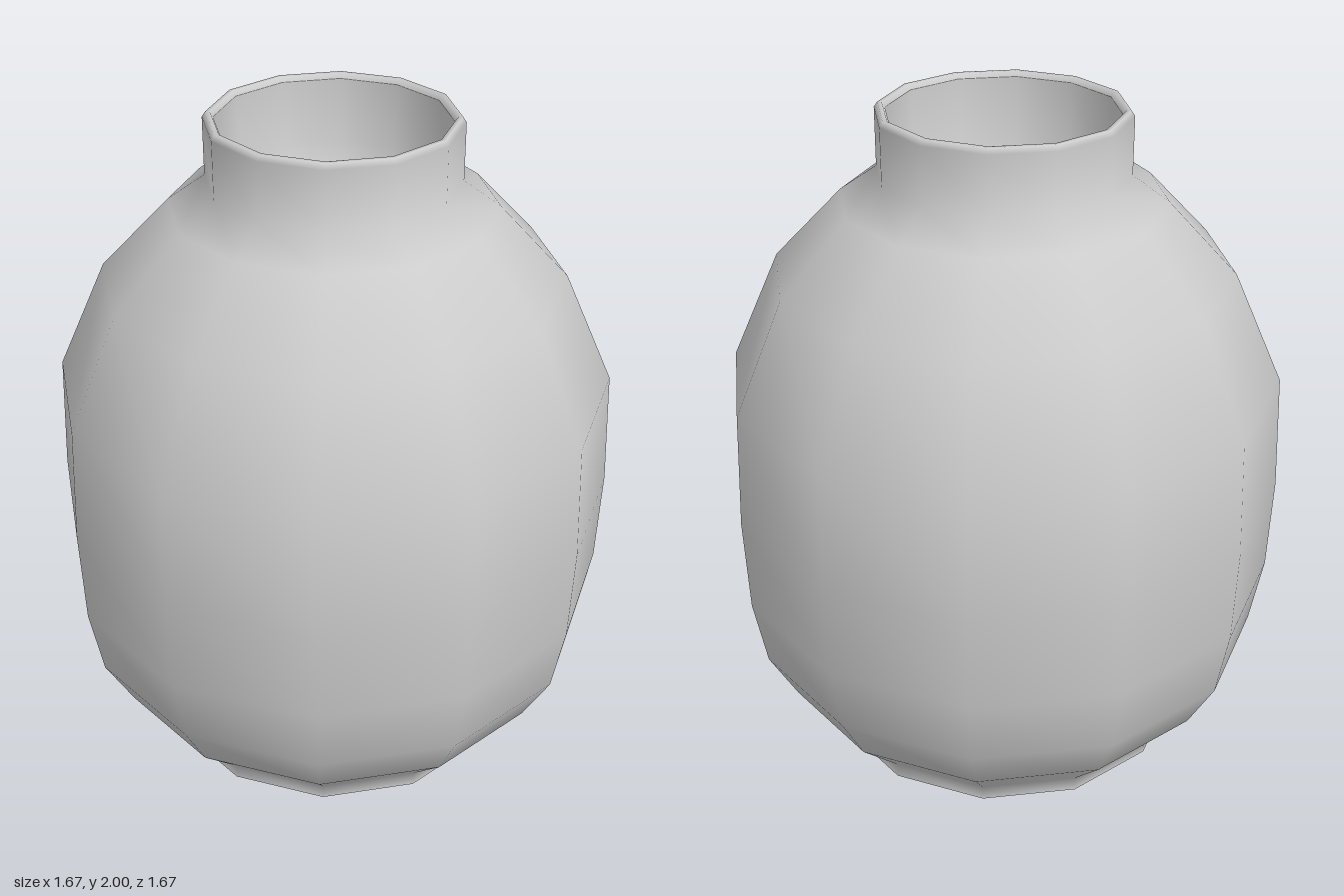
import * as THREE from 'three';

const SIDES = 12;

function lathe(name, points, material) {
  const profile = points.map(([r, y]) => new THREE.Vector2(r, y));
  const mesh = new THREE.Mesh(new THREE.LatheGeometry(profile, SIDES), material);
  mesh.name = name;
  return mesh;
}

export function createModel() {
  const group = new THREE.Group();
  group.name = 'jar';
  const material = new THREE.MeshStandardMaterial({ color: 0xcccccc });

  // Outer wall: foot, belly, shoulder, neck and rounded rim
  group.add(lathe('body', [
    [0.55, 0], [0.55, 0.045], [0.7, 0.195], [0.785, 0.35], [0.823, 0.56],
    [0.833, 0.85], [0.818, 1.2], [0.67, 1.53], [0.47, 1.74], [0.363, 1.815],
    [0.363, 1.985], [0.353, 2], [0.34, 2], [0.332, 1.985],
  ], material));

  // Hollow inside the neck, closing in a rounded bowl
  group.add(lathe('innerBowl', [
    [0.332, 1.985], [0.322, 1.8], [0.26, 1.67], [0.14, 1.58], [0, 1.55],
  ], material));

  // Flat underside
  const base = new THREE.Mesh(new THREE.CircleGeometry(0.55, SIDES), material);
  base.rotation.x = Math.PI / 2;
  base.name = 'base';
  group.add(base);

  return group;
}
